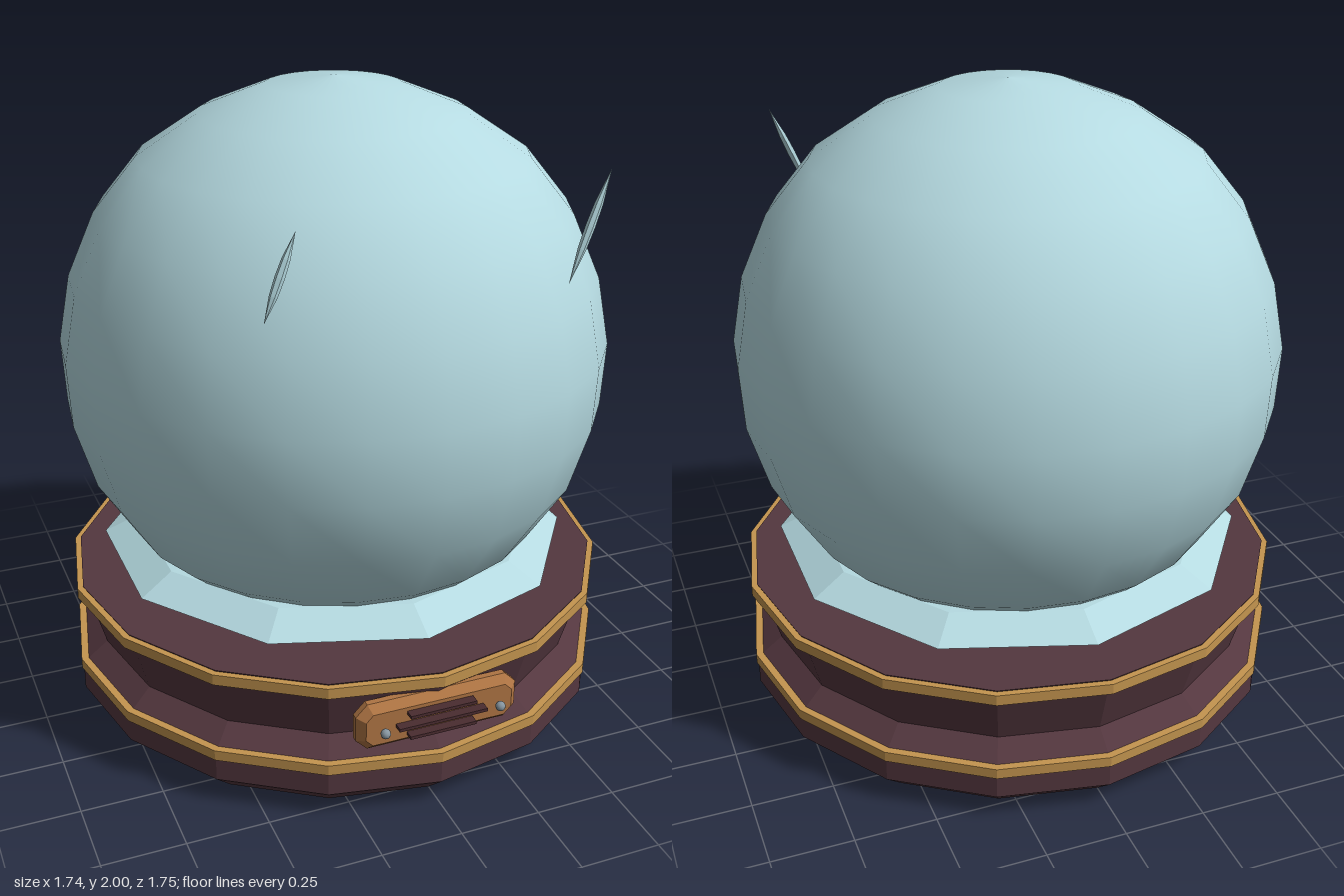
import * as THREE from 'three';

const paint = (name, color) => {
  const m = new THREE.MeshStandardMaterial({ color });
  m.name = name;
  return m;
};

export function createModel() {
  const glass = paint('pale blue', 0xb5dae1);
  const wood = paint('dark maroon', 0x54373f);
  const gold = paint('gold', 0xc4954f);
  const copper = paint('copper', 0xae7443);
  const slotDark = paint('slot maroon', 0x4a2c30);
  const steel = paint('steel', 0x8796a0);

  const model = new THREE.Group();
  model.name = 'snowGlobe';
  const body = new THREE.Group();
  body.name = 'roundParts';
  body.position.z = -0.008;
  model.add(body);

  // Helpers: faceted normals, lathe from [radius, height] pairs
  const flat = (geo) => {
    const g = geo.index ? geo.toNonIndexed() : geo;
    g.computeVertexNormals();
    return g;
  };
  const lathe = (pairs, sides) =>
    new THREE.LatheGeometry(pairs.map(([r, y]) => new THREE.Vector2(r, y)), sides);
  const add = (name, geo, mat, parent = model) => {
    const mesh = new THREE.Mesh(geo, mat);
    mesh.name = name;
    parent.add(mesh);
    return mesh;
  };

  // Wooden base with a narrow waist
  add('base', flat(lathe([
    [0, 0], [0.78, 0], [0.866, 0.08], [0.866, 0.16], [0.85, 0.185],
    [0.785, 0.235], [0.838, 0.42], [0.85, 0.45], [0, 0.45],
  ], 16)), wood, body);

  // Gold trim bands
  for (const [name, y0, y1, r] of [['lowerTrim', 0.153, 0.186, 0.872], ['upperTrim', 0.412, 0.446, 0.868]]) {
    add(name, flat(lathe([[0.82, y0], [r, y0], [r, y1], [0.82, y1]], 16)), gold, body);
  }

  // Faceted collar under the globe
  add('collar', flat(lathe([[0.5, 0.45], [0.64, 0.45], [0.755, 0.507], [0.645, 0.562], [0.5, 0.57]], 10)), glass, body);

  // Smooth globe
  add('globe', lathe([
    [0.5, 0.46], [0.66, 0.6], [0.78, 0.79], [0.842, 1.0], [0.852, 1.2], [0.812, 1.41],
    [0.726, 1.605], [0.592, 1.77], [0.405, 1.895], [0.205, 1.975], [0, 2],
  ], 24), glass, body);

  // Thin glints standing off the glass
  for (const [name, a, b] of [
    ['rightGlint', [-0.45, 1.5, 0.64], [-0.35, 1.735, 0.615]],
    ['leftGlint', [0.45, 1.5, 0.645], [0.585, 1.81, 0.61]],
  ]) {
    const p = new THREE.Vector3(...a), q = new THREE.Vector3(...b);
    const dir = q.clone().sub(p);
    const glint = add(name, flat(lathe([[0, -0.5], [0.012, -0.2], [0.014, 0], [0.012, 0.2], [0, 0.5]], 6)), glass);
    glint.scale.y = dir.length();
    glint.position.copy(p).add(q).multiplyScalar(0.5);
    glint.quaternion.setFromUnitVectors(new THREE.Vector3(0, 1, 0), dir.normalize());
  }

  // Name plate: octagonal outline with bevelled front
  const plate = new THREE.Group();
  plate.name = 'plate';
  plate.position.y = 0.3;
  model.add(plate);
  const w = 0.232, h = 0.052, c = 0.022;
  const outline = new THREE.Shape([
    [-w + c, -h], [w - c, -h], [w, -h + c], [w, h - c],
    [w - c, h], [-w + c, h], [-w, h - c], [-w, -h + c],
  ].map(([x, y]) => new THREE.Vector2(x, y)));
  const plateGeo = new THREE.ExtrudeGeometry(outline, {
    depth: 0.02, bevelEnabled: true, bevelThickness: 0.024, bevelSize: 0.023, bevelSegments: 1,
  });
  add('plateBody', flat(plateGeo), copper, plate).position.z = 0.79;

  // Engraved bars
  for (const [y, width] of [[0.035, 0.21], [0, 0.28], [-0.035, 0.21]]) {
    add('plateBar', new THREE.BoxGeometry(width, 0.01, 0.03), slotDark, plate).position.set(0, y, 0.848);
  }

  // Screws
  for (const side of [-1, 1]) {
    add('screw', new THREE.SphereGeometry(0.015, 12, 8), steel, plate).position.set(side * 0.183, 0, 0.86);
  }

  return model;
}
